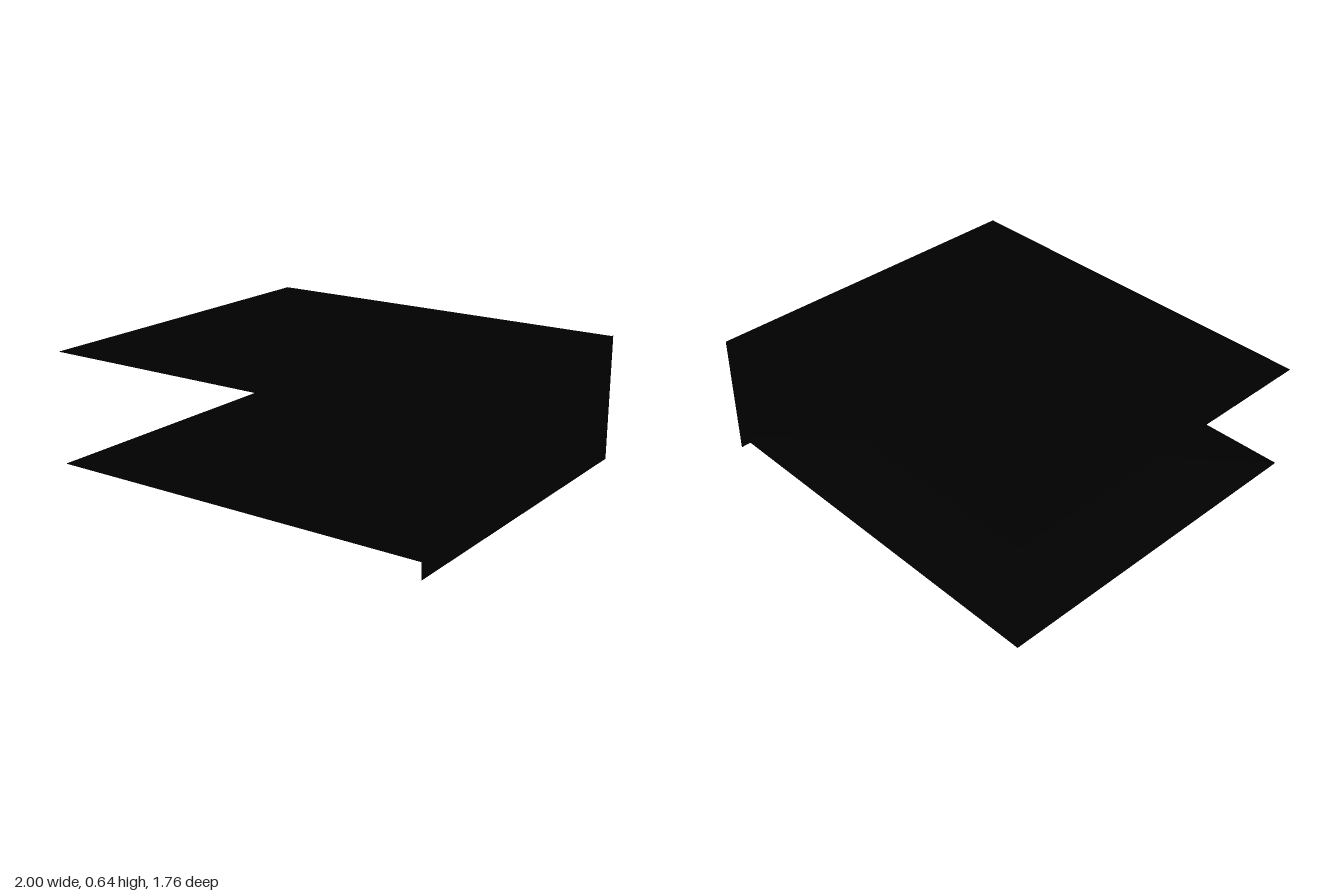
import * as THREE from 'three';

export function createModel() {
  const model = new THREE.Group();
  const black = new THREE.MeshStandardMaterial({ color: 0x000000, side: THREE.DoubleSide });
  black.name = 'black';

  const width = 2, depth = 1.76, floorY = 0.08, ceilingY = 0.635;

  function add(name, geometry, x, y, z) {
    const mesh = new THREE.Mesh(geometry, black);
    mesh.name = name;
    mesh.position.set(x, y, z);
    model.add(mesh);
    return mesh;
  }

  // Paper-thin floor and roof sheets
  const sheet = new THREE.PlaneGeometry(width, depth).rotateX(-Math.PI / 2);
  add('floor', sheet, 0, floorY, 0);
  add('roof', sheet, 0, ceilingY, 0);

  // Single side wall, reaching below the floor to the ground
  const wallHeight = 0.64;
  add('sideWall', new THREE.PlaneGeometry(depth, wallHeight).rotateY(Math.PI / 2),
    width / 2, wallHeight / 2, 0);

  // Door panel standing on the front edge of the floor
  add('door', new THREE.BoxGeometry(0.24, 0.4, 0.008), 0.64, 0.28, depth / 2 - 0.004);

  // Three by three skylights lying on the roof
  const skylight = new THREE.BoxGeometry(0.125, 0.009, 0.09);
  for (const x of [-0.555, -0.1, 0.48]) {
    for (const z of [-0.455, 0.12, 0.5]) {
      add('skylight', skylight, x, ceilingY + 0.0045, z);
    }
  }
  return model;
}
